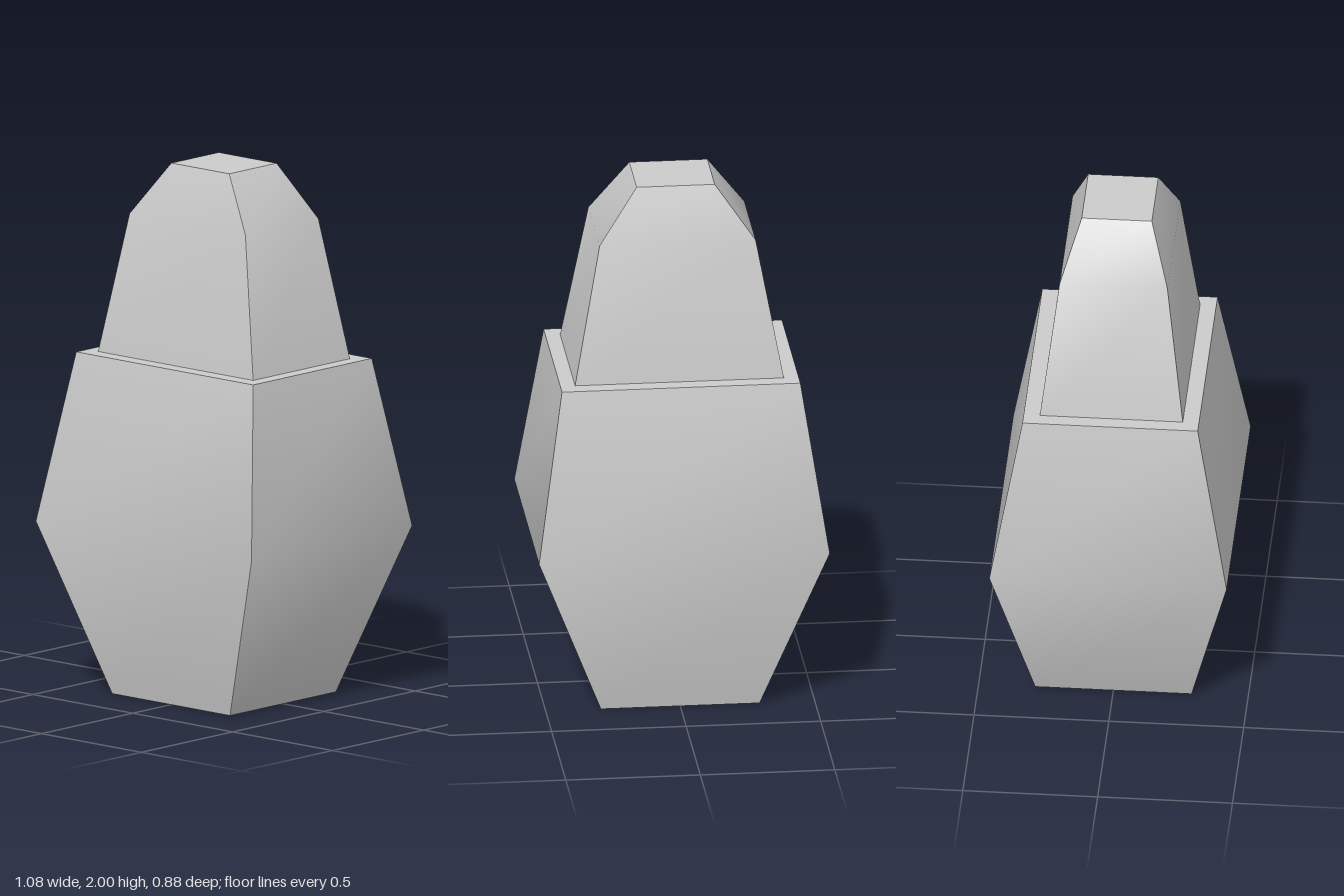
import * as THREE from 'three';
import { toCreasedNormals } from 'three/addons/utils/BufferGeometryUtils.js';

const material = new THREE.MeshStandardMaterial({ color: 0xcccccc });
const CORNERS = [[1, 1], [1, -1], [-1, -1], [-1, 1]];

// Closed solid through rectangular cross-sections: [y, half width, half depth]
function rectangularLoft(name, sections) {
  const positions = [];
  const indices = [];
  for (const [y, halfWidth, halfDepth] of sections) {
    for (const [sx, sz] of CORNERS) positions.push(sx * halfWidth, y, sz * halfDepth);
  }
  // Side walls between neighbouring sections
  for (let s = 0; s < sections.length - 1; s++) {
    for (let i = 0; i < 4; i++) {
      const a = s * 4 + i;
      const b = s * 4 + (i + 1) % 4;
      indices.push(a, b, b + 4, a, b + 4, a + 4);
    }
  }
  // Bottom and top caps
  const t = (sections.length - 1) * 4;
  indices.push(0, 2, 1, 0, 3, 2);
  indices.push(t, t + 1, t + 2, t, t + 2, t + 3);

  const geometry = new THREE.BufferGeometry();
  geometry.setAttribute('position', new THREE.Float32BufferAttribute(positions, 3));
  geometry.setIndex(indices);
  // Walls shade smoothly along their height; corners and rims stay sharp
  const mesh = new THREE.Mesh(toCreasedNormals(geometry, 0.7), material);
  mesh.name = name;
  return mesh;
}

export function createModel() {
  const group = new THREE.Group();
  group.name = 'facetedBottle';

  // Bulging lower body with a flat shoulder
  group.add(rectangularLoft('body', [
    [0, 0.295, 0.29],
    [0.64, 0.54, 0.44],
    [1.275, 0.443, 0.325],
  ]));

  // Tapered cap standing on the shoulder
  group.add(rectangularLoft('cap', [
    [1.275, 0.388, 0.265],
    [1.8, 0.29, 0.2],
    [2, 0.145, 0.13],
  ]));

  return group;
}
